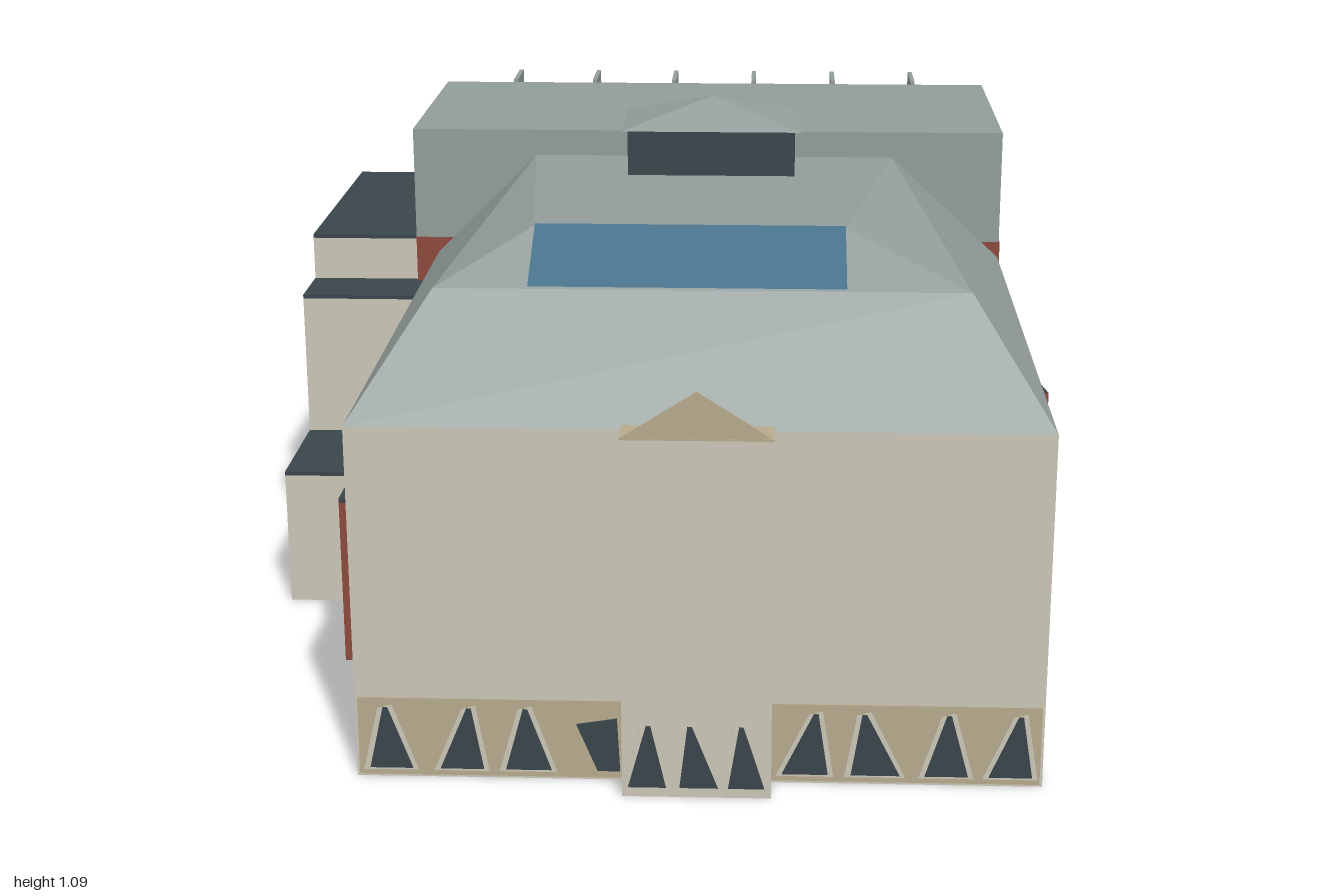
import * as THREE from 'three';

const paint = (name, color, side = THREE.FrontSide) => {
  const m = new THREE.MeshStandardMaterial({ color, side });
  m.name = name;
  return m;
};

export function createModel() {
  const group = new THREE.Group();
  const cream = paint('cream stone', 0xcdc7b9);
  const tan = paint('tan trim', 0xb8ac8e, THREE.DoubleSide);
  const red = paint('red brick', 0x8e4b3e);
  const grey = paint('grey roof', 0x939e9b);
  const slate = paint('dark slate', 0x3a464b);
  const blue = paint('blue glass', 0x48708a);

  const add = (name, geo, mat) => {
    const mesh = new THREE.Mesh(geo, mat);
    mesh.name = name;
    group.add(mesh);
    return mesh;
  };
  // Box given by its limits on each axis
  const block = (name, mat, [x0, x1], [y0, y1], [z0, z1]) => {
    const geo = new THREE.BoxGeometry(x1 - x0, y1 - y0, z1 - z0);
    geo.translate((x0 + x1) / 2, (y0 + y1) / 2, (z0 + z1) / 2);
    return add(name, geo, mat);
  };
  // Flat faces, each a convex loop of corners
  const faces = (name, mat, loops) => {
    const pos = [];
    for (const f of loops)
      for (let i = 1; i < f.length - 1; i++) pos.push(...f[0], ...f[i], ...f[i + 1]);
    const geo = new THREE.BufferGeometry();
    geo.setAttribute('position', new THREE.Float32BufferAttribute(pos, 3));
    geo.computeVertexNormals();
    return add(name, geo, mat);
  };
  // Thin plate facing the front, cut from an outline in x and y
  const plate = (name, mat, outline, z, depth = 0.003) => {
    const shape = new THREE.Shape(outline.map(([x, y]) => new THREE.Vector2(x, y)));
    const geo = new THREE.ExtrudeGeometry(shape, { depth, bevelEnabled: false });
    geo.translate(0, 0, z);
    return add(name, geo, mat);
  };

  // Main hall and its faceted roof
  block('mainHall', cream, [-0.57, 0.66], [0, 0.665], [-0.26, 0.93]);
  const FL = [-0.57, 0.665, 0.93], FR = [0.66, 0.665, 0.93];
  const BL = [-0.57, 0.665, -0.26], BR = [0.66, 0.665, -0.26];
  const ML = [-0.43, 0.87, 0.77], MR = [0.52, 0.87, 0.77];
  const TL = [-0.265, 0.947, 0.62], TR = [0.30, 0.947, 0.62];
  const RL = [-0.32, 0.947, 0.02], RR = [0.41, 0.947, 0.02];
  faces('hallRoof', grey, [
    [FL, FR, MR, ML], [ML, MR, TR, TL], [TL, TR, RR, RL], [RL, RR, BR, BL],
    [FR, BR, RR, MR], [MR, RR, TR], [FL, ML, RL, BL], [ML, TL, RL],
  ]);
  faces('skylight', blue, [
    [[-0.262, 0.875, 0.772], [0.3, 0.875, 0.772], [0.3, 0.952, 0.622], [-0.262, 0.952, 0.622]],
  ]);

  // Cupola with a low pyramid cap
  block('cupola', slate, [-0.12, 0.21], [0.94, 1.035], [-0.02, 0.2]);
  const cap = new THREE.ConeGeometry(Math.SQRT1_2, 0.05, 4, 1).toNonIndexed();
  cap.rotateY(Math.PI / 4).scale(0.355, 1, 0.235).translate(0.045, 1.06, 0.085);
  cap.computeVertexNormals();
  add('cupolaRoof', cap, grey);

  // Entrance bay with a thin gable
  block('entranceBay', cream, [-0.088, 0.176], [0, 0.668], [0.92, 0.992]);
  block('entranceTop', tan, [-0.088, 0.176], [0.668, 0.672], [0.92, 0.992]);
  plate('gable', tan, [[-0.088, 0.67], [0.176, 0.67], [0.044, 0.755]], 0.988);

  // Base band and pointed windows: base left, base right, apex
  block('baseBandLeft', tan, [-0.565, -0.088], [0.005, 0.155], [0.927, 0.933]);
  block('baseBandRight', tan, [0.176, 0.655], [0.005, 0.155], [0.927, 0.933]);
  const windows = [
    [-0.545, -0.468, -0.515], [-0.418, -0.34, -0.365], [-0.3, -0.218, -0.264],
    [-0.077, -0.01, -0.041], [0.014, 0.082, 0.032], [0.1, 0.164, 0.123],
    [0.195, 0.277, 0.255], [0.318, 0.405, 0.341], [0.45, 0.527, 0.491], [0.564, 0.641, 0.618],
  ];
  for (const [l, r, apex] of windows) {
    const z = l > -0.08 && r < 0.17 ? 0.992 : 0.933;
    plate('windowSurround', cream, [[l - 0.012, 0.015], [r + 0.01, 0.015], [apex + 0.012, 0.142], [apex - 0.014, 0.135]], z - 0.001, 0.003);
    plate('window', slate, [[l, 0.02], [r, 0.02], [apex + 0.004, 0.138], [apex - 0.004, 0.138]], z, 0.005);
  }
  plate('doorway', slate, [[-0.135, 0.02], [-0.095, 0.02], [-0.1, 0.122], [-0.172, 0.11]], 0.932, 0.006);

  // Rear brick block with its upper storey
  block('rearBlock', red, [-0.618, 0.664], [0, 0.7], [-0.962, -0.255]);
  block('rearUpperStorey', grey, [-0.618, 0.662], [0.7, 0.942], [-0.82, -0.257]);
  block('rearLedge', slate, [-0.618, 0.664], [0.7, 0.74], [-0.965, -0.815]);

  // Rear bays with glass bands, and roof fins between them
  for (let i = 0; i < 7; i++) {
    const x = -0.615 + i * 0.19, w = [x, x + 0.135];
    block('rearBay', slate, w, [0, 0.6], [-1, -0.955]);
    block('rearBayGlass', blue, w, [0.6, 0.735], [-1, -0.955]);
    block('rearBayCap', slate, w, [0.735, 0.75], [-1, -0.82]);
    if (i < 6) block('roofFin', grey, [x + 0.157, x + 0.167], [0.73, 0.95], [-0.945, -0.815]);
  }

  // Stepped side wing: top height, inner x, z range
  const steps = [
    [0.7, -0.61, -0.9, -0.27], [0.6, -0.565, -0.27, -0.13], [0.29, -0.565, -0.13, 0.14],
  ];
  for (const [h, x, z0, z1] of steps) {
    block('sideWing', cream, [-0.85, x], [0, h - 0.008], [z0, z1]);
    block('sideWingRoof', slate, [-0.85, x], [h - 0.008, h], [z0, z1]);
  }
  block('sidePorch', red, [-0.68, -0.565], [0, 0.337], [0.135, 0.44]);
  block('sidePorchRoof', slate, [-0.68, -0.565], [0.337, 0.345], [0.135, 0.44]);

  // Small angled annex on the other side
  const at = (x, z) => [[x, 0, z], [x, 0.2, z]];
  const [a0, a1] = at(0.655, -0.92), [d0, d1] = at(0.655, -0.675);
  const [c0, c1] = at(0.845, -0.73), [b0, b1] = at(0.82, -0.88);
  faces('annexWalls', red, [[d0, c0, c1, d1], [b0, a0, a1, b1], [c0, b1, c1], [a0, b0, c0, d0]]);
  faces('annexEnd', cream, [[c0, b0, b1]]);
  faces('annexRoof', slate, [[d1, c1, b1, a1]]);

  return group;
}
